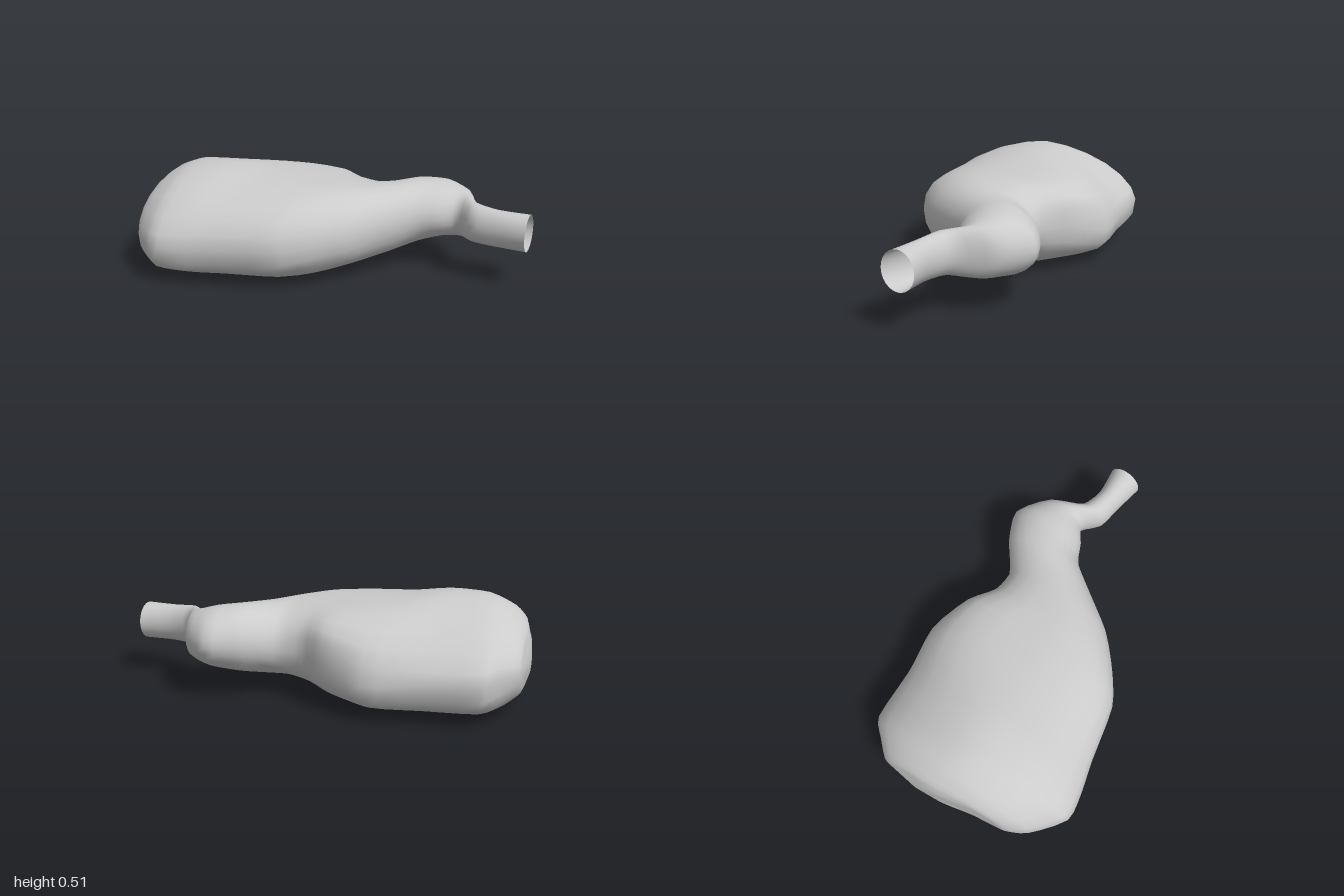
import * as THREE from 'three';

// Cross-sections from the closed broad end to the open tube:
// [backX, backZ, frontX, frontZ, bottomY, topY, backSideY, frontSideY,
//  squareness of the underside, of the upper back, of the upper front]
const body = [
  [-0.985, -0.27, -0.92, 0.28, 0.15, 0.32, 0.24, 0.20, 2, 2, 2],
  [-0.975, -0.33, -0.91, 0.36, 0.08, 0.39, 0.24, 0.20, 2.3, 1.9, 2],
  [-0.90, -0.42, -0.85, 0.46, 0.03, 0.455, 0.24, 0.20, 2.8, 1.75, 1.8],
  [-0.82, -0.50, -0.69, 0.58, 0.008, 0.505, 0.22, 0.20, 3, 1.6, 1.7],
  [-0.55, -0.53, -0.55, 0.56, 0.003, 0.515, 0.20, 0.20, 3, 1.7, 1.78],
  [-0.30, -0.57, -0.38, 0.51, 0.00, 0.49, 0.18, 0.21, 2.8, 2.3, 2],
  [-0.08, -0.49, -0.10, 0.44, 0.005, 0.472, 0.24, 0.22, 2.6, 3.2, 2.1],
  [0.05, -0.41, 0.05, 0.34, 0.03, 0.465, 0.25, 0.23, 2.4, 2.8, 2.1],
  [0.17, -0.41, 0.20, 0.20, 0.065, 0.452, 0.25, 0.25, 2.2, 2.2, 2],
];
const neck = [
  [0.25, -0.46, 0.32, 0.02, 0.085, 0.447, 0.27, 0.27, 2, 2, 2],
  [0.34, -0.53, 0.43, -0.14, 0.115, 0.452, 0.285, 0.285, 2, 2, 2],
  [0.48, -0.59, 0.54, -0.20, 0.15, 0.442, 0.287, 0.287, 2, 1.9, 2],
  [0.63, -0.49, 0.62, -0.25, 0.165, 0.41, 0.29, 0.29, 2, 2, 2],
  [0.71, -0.33, 0.715, -0.175, 0.185, 0.39, 0.285, 0.285, 2, 2, 2],
  [0.84, -0.29, 0.84, -0.16, 0.188, 0.378, 0.283, 0.283, 2, 2, 2],
  [1.0, -0.31, 1.0, -0.135, 0.188, 0.377, 0.282, 0.282, 2, 2, 2],
];
const SIDES = 24, STEPS = 3;

// Blend neighbouring cross-sections, with fairly tight bends
function sectionAt(list, u) {
  const last = list.length - 1;
  const i = Math.min(Math.floor(u), last - 1), t = u - i;
  const at = (k) => list[Math.max(0, Math.min(last, k))];
  return list[i].map((p1, k) => {
    const p0 = at(i - 1)[k], p2 = at(i + 1)[k], p3 = at(i + 2)[k];
    const m1 = (p2 - p0) * 0.33, m2 = (p3 - p1) * 0.33;
    return p1 * (2 * t ** 3 - 3 * t * t + 1) + m1 * (t ** 3 - 2 * t * t + t)
      + p2 * (3 * t * t - 2 * t ** 3) + m2 * (t ** 3 - t * t);
  });
}

// Point on a cross-section, going back, top, front, bottom
function ringPoint(section, angle) {
  const [bx, bz, fx, fz, low, high, backY, frontY, under, upperBack, upperFront] = section;
  const c = Math.cos(angle), s = Math.sin(angle);
  const n = s < 0 ? under : c > 0 ? upperBack : upperFront;
  const side = -Math.sign(c) * Math.abs(c) ** (2 / n);
  const rise = Math.abs(s) ** (2 / n);
  const f = (side + 1) / 2;
  const midY = THREE.MathUtils.lerp(backY, frontY, f);
  const x = THREE.MathUtils.lerp(bx, fx, f);
  const y = midY + ((s >= 0 ? high : low) - midY) * rise;
  const z = THREE.MathUtils.lerp(bz, fz, f);
  // Rounded swelling in the middle of the broad end
  const swell = 0.04 * THREE.MathUtils.smoothstep(-x, 0.86, 0.95)
    * Math.exp(-((z / 0.13) ** 2) - ((y - 0.23) / 0.13) ** 2);
  return [x - swell, y, z];
}

function createOrganGeometry() {
  const sections = [...body, ...neck];
  const rings = (sections.length - 1) * STEPS + 1;
  const position = [], index = [];
  for (let r = 0; r < rings; r++) {
    const section = sectionAt(sections, r / STEPS);
    for (let j = 0; j < SIDES; j++) {
      position.push(...ringPoint(section, (j / SIDES) * Math.PI * 2));
    }
  }
  for (let r = 0; r < rings - 1; r++) {
    for (let j = 0; j < SIDES; j++) {
      const k = (j + 1) % SIDES;
      const a = r * SIDES + j, b = r * SIDES + k;
      index.push(a, b, a + SIDES, b, b + SIDES, a + SIDES);
    }
  }
  // Close the broad end; the tube end stays open
  const tip = position.length / 3;
  position.push(-1, 0.24, -0.12);
  for (let j = 0; j < SIDES; j++) index.push(tip, (j + 1) % SIDES, j);

  const geometry = new THREE.BufferGeometry();
  geometry.setAttribute('position', new THREE.Float32BufferAttribute(position, 3));
  geometry.setIndex(index);
  geometry.computeVertexNormals();
  return geometry;
}

export function createModel() {
  const group = new THREE.Group();
  group.name = 'organ';
  // Hollow sac that narrows into a bent open tube
  const sac = new THREE.Mesh(
    createOrganGeometry(),
    new THREE.MeshStandardMaterial({ color: 0xcccccc, side: THREE.DoubleSide }),
  );
  sac.name = 'sacWithTube';
  group.add(sac);
  return group;
}
